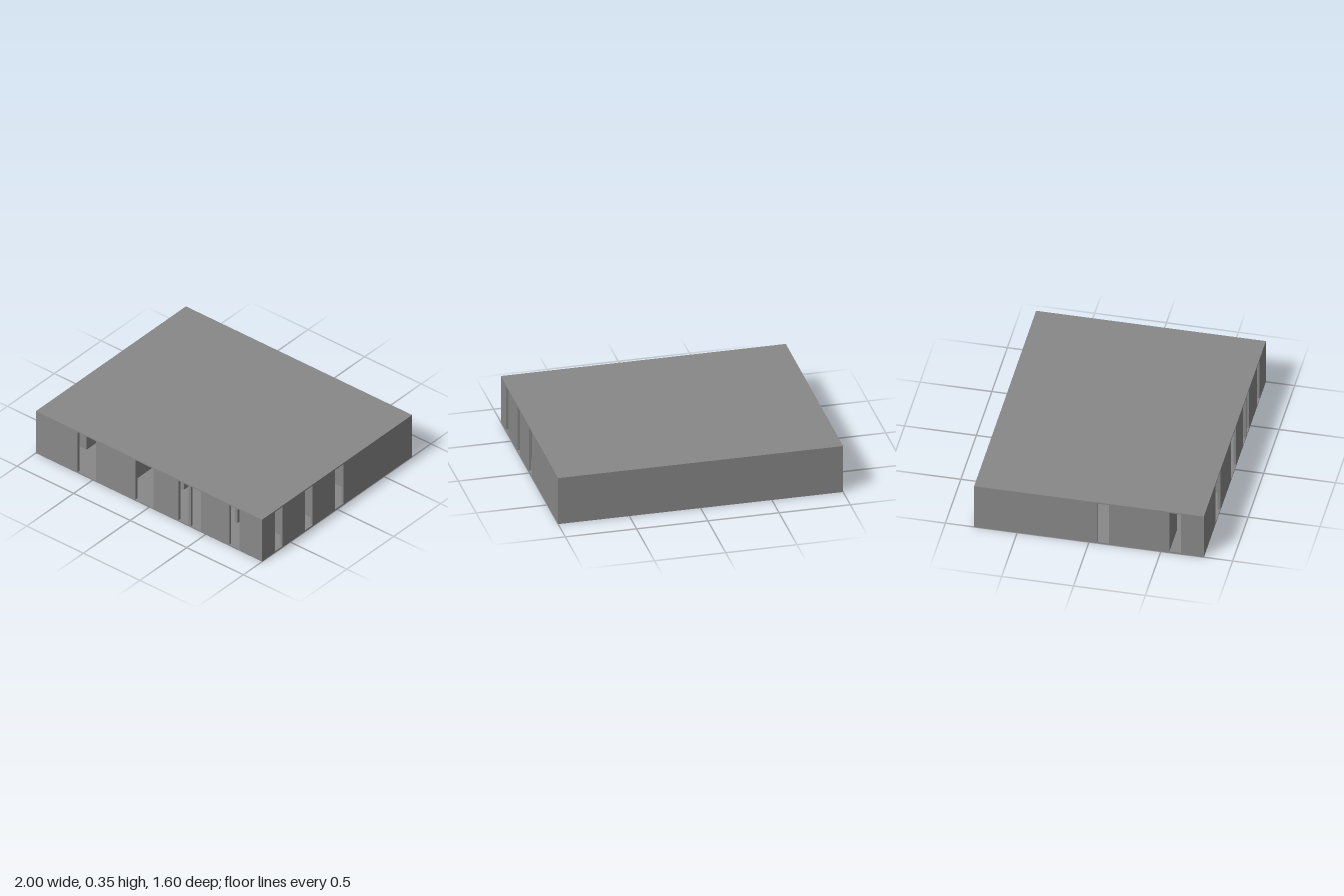
import * as THREE from 'three';

const HEIGHT = 0.35;
const SLAB = 0.01;
const THICK = 0.02;

export function createModel() {
  const model = new THREE.Group();
  model.name = 'buildingStorey';
  const material = new THREE.MeshStandardMaterial({ color: 0x888888 });

  const box = (parent, name, w, h, d, x, y, z) => {
    const mesh = new THREE.Mesh(new THREE.BoxGeometry(w, h, d), material);
    mesh.name = name;
    mesh.position.set(x, y, z);
    parent.add(mesh);
  };

  // A wall along one axis, split into panels by full-height openings [start, end].
  const wall = (name, axis, at, from, to, openings = []) => {
    const group = new THREE.Group();
    group.name = name;
    const h = HEIGHT - 2 * SLAB;
    const stops = [from, ...openings.flat(), to];
    for (let i = 0; i < stops.length; i += 2) {
      const length = stops[i + 1] - stops[i];
      const mid = (stops[i] + stops[i + 1]) / 2;
      if (axis === 'x') box(group, name + 'Panel', length, h, THICK, mid, HEIGHT / 2, at);
      else box(group, name + 'Panel', THICK, h, length, at, HEIGHT / 2, mid);
    }
    model.add(group);
  };

  // Floor and roof slabs
  box(model, 'floorSlab', 2, SLAB, 1.6, 0, SLAB / 2, 0);
  box(model, 'roofSlab', 2, SLAB, 1.6, 0, HEIGHT - SLAB / 2, 0);

  // Outer walls with doorways and windows
  wall('frontWall', 'x', 0.79, -1, 1,
    [[-0.63, -0.47], [-0.12, 0.04], [0.26, 0.35], [0.37, 0.46], [0.71, 0.8]]);
  wall('backWall', 'x', -0.79, -1, 1);
  wall('leftWall', 'z', 0.99, -0.78, 0.78, [[-0.07, 0.02], [0.26, 0.34], [0.58, 0.66]]);
  wall('rightWall', 'z', -0.99, -0.78, 0.78, [[0.06, 0.14], [0.56, 0.64]]);

  // Partitions of the front rooms
  wall('cornerRoomFront', 'x', 0.55, -0.98, -0.75);
  wall('cornerRoomSide', 'z', -0.76, 0.2, 0.54);
  wall('middlePartition', 'z', -0.28, 0.2, 0.78);
  wall('innerPartition', 'z', 0.05, 0.2, 0.5);

  // Corridor walls
  wall('corridorFront', 'x', 0.19, -0.98, 0.98, [[-0.08, 0], [0.4, 0.5]]);
  wall('corridorBack', 'x', -0.22, -0.98, 0.98);

  // Small rooms along the left side
  wall('sideRoomPartition', 'z', 0.58, -0.21, 0.57, [[-0.06, 0.03], [0.28, 0.32]]);
  wall('sideRoomDivider', 'x', 0.48, 0.59, 0.98);

  return model;
}
